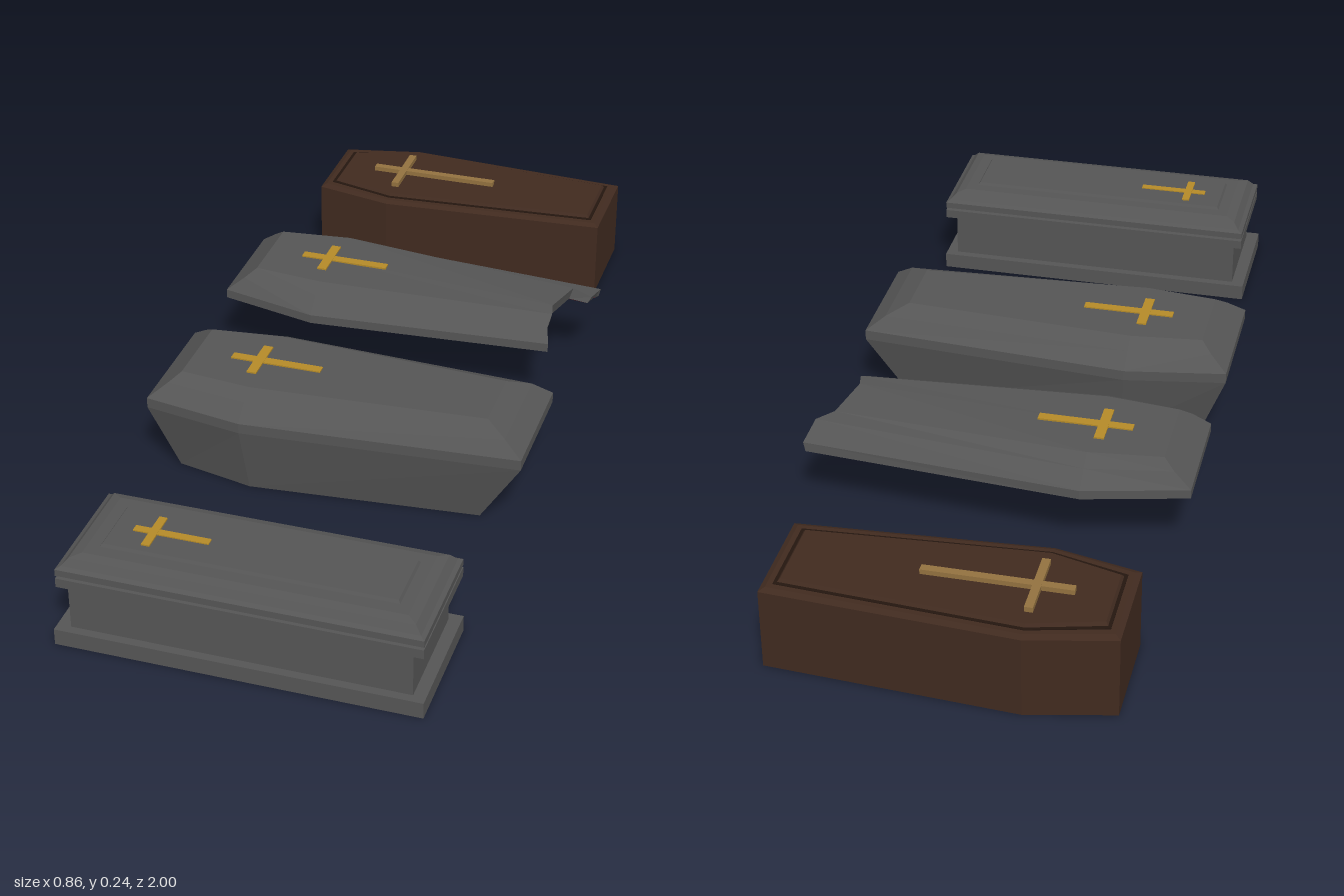
import * as THREE from 'three';

const mat = (color, side = THREE.FrontSide) =>
  new THREE.MeshStandardMaterial({ color, flatShading: true, side });
const stone = mat(0x555555);
const brokenStone = mat(0x555555, THREE.DoubleSide);
const gold = mat(0xb48a28);
const wood = mat(0x402a1f);
const darkWood = mat(0x24160f);
const brass = mat(0x92713f);
const cloth = mat(0x5a2430, THREE.DoubleSide);
const clothTrim = mat(0x9c4454, THREE.DoubleSide);

function meshFrom(tris, material, name) {
  const g = new THREE.BufferGeometry();
  g.setAttribute('position', new THREE.Float32BufferAttribute(tris.flat(), 3));
  g.computeVertexNormals();
  const m = new THREE.Mesh(g, material);
  m.name = name;
  return m;
}

// Solid from stacked outlines: levels are [y, [[x, z], ...]], counter-clockwise from above
function stack(levels, material, name) {
  const rings = levels.map(([y, pts]) => pts.map(([x, z]) => [x, y, z]));
  const n = rings[0].length, t = [];
  for (let k = 0; k + 1 < rings.length; k++)
    for (let i = 0; i < n; i++) {
      const j = (i + 1) % n, a = rings[k], b = rings[k + 1];
      t.push(a[i], a[j], b[j], a[i], b[j], b[i]);
    }
  const lo = rings[0], hi = rings[rings.length - 1];
  for (let i = 1; i + 1 < n; i++) t.push(hi[0], hi[i], hi[i + 1], lo[0], lo[i + 1], lo[i]);
  return meshFrom(t, material, name);
}

// Open surface between rows of points
function sheet(rows, material, name) {
  const t = [];
  for (let r = 0; r + 1 < rows.length; r++)
    for (let i = 0; i + 1 < rows[r].length; i++) {
      const a = rows[r], b = rows[r + 1];
      t.push(a[i], b[i], b[i + 1], a[i], b[i + 1], a[i + 1]);
    }
  return meshFrom(t, material, name);
}

// Six-sided coffin outline: head, shoulder and foot, each x and half width
const hex = (xh, wh, xs, ws, xf, wf, d = 0) => [
  [xf - d, wf - d], [xf - d, d - wf], [xs, d - ws],
  [xh + d, d - wh], [xh + d, wh - d], [xs, ws - d],
];
const rect = (x0, x1, w) => [[x1, w], [x1, -w], [x0, -w], [x0, w]];

// Flat cross lying on a lid
function cross(x0, x1, xArm, armHalf, width, y, top, material) {
  const g = new THREE.Group();
  g.name = 'cross';
  const bar = (name, cx, lx, lz, h) => {
    const m = new THREE.Mesh(new THREE.BoxGeometry(lx, h, lz), material);
    m.name = name;
    m.position.set(cx, y + h / 2, 0);
    g.add(m);
  };
  bar('crossLong', (x0 + x1) / 2, x1 - x0, width, top - y);
  bar('crossArm', xArm, width, armHalf * 2, top - y + 0.0006);
  return g;
}

function group(name, z, ...parts) {
  const g = new THREE.Group();
  g.name = name;
  g.position.z = z;
  g.add(...parts);
  return g;
}

// Rectangular stone tomb with stepped base and lid
function stoneTomb() {
  const base = stack([[0, rect(-0.375, 0.405, 0.145)], [0.037, rect(-0.375, 0.405, 0.145)]], stone, 'tombBase');
  const body = stack([[0.037, rect(-0.345, 0.378, 0.126)], [0.143, rect(-0.345, 0.378, 0.126)]], stone, 'tombBody');
  const rim = stack([[0.143, rect(-0.365, 0.403, 0.14)], [0.164, rect(-0.365, 0.403, 0.14)]], stone, 'tombRim');
  const lid = stack([
    [0.164, rect(-0.345, 0.382, 0.122)], [0.17, rect(-0.345, 0.382, 0.122)],
    [0.17, rect(-0.365, 0.403, 0.139)], [0.185, rect(-0.365, 0.403, 0.139)],
    [0.19, rect(-0.355, 0.394, 0.13)], [0.205, rect(-0.342, 0.38, 0.118)],
    [0.21, rect(-0.32, 0.36, 0.1)],
  ], stone, 'tombLid');
  const panel = stack([[0.209, rect(-0.295, 0.335, 0.072)], [0.216, rect(-0.29, 0.33, 0.067)]], stone, 'lidPanel');
  return group('stoneTomb', 0.855, base, body, rim, lid, panel,
    cross(-0.248, -0.085, -0.205, 0.05, 0.018, 0.214, 0.2185, gold));
}

// Tapered stone coffin with a bevelled lid
function stoneCoffin() {
  const wide = hex(-0.43, 0.148, -0.2, 0.187, 0.426, 0.143);
  const body = stack([[0, hex(-0.37, 0.115, -0.19, 0.155, 0.33, 0.11)], [0.16, wide]], stone, 'coffinBody');
  const lid = stack([
    [0.16, wide], [0.184, wide],
    [0.215, hex(-0.39, 0.12, -0.2, 0.147, 0.383, 0.118)],
    [0.235, hex(-0.365, 0.095, -0.2, 0.113, 0.335, 0.08)],
  ], stone, 'coffinLid');
  return group('stoneCoffin', 0.198, body, lid,
    cross(-0.28, -0.07, -0.215, 0.058, 0.022, 0.233, 0.238, gold));
}

// Hollow lid with its foot end broken off, lined underneath
function brokenLid() {
  const arch = (half, ridge) =>
    [...half, ridge, ...half.slice().reverse().map(([x, y, z]) => [x, y, -z])];
  const head = arch([[-0.43, 0.163, -0.132], [-0.43, 0.184, -0.132], [-0.39, 0.215, -0.115],
    [-0.365, 0.235, -0.095]], [-0.365, 0.235, 0]);
  const shoulder = arch([[-0.2, 0.163, -0.187], [-0.2, 0.184, -0.187], [-0.2, 0.215, -0.147],
    [-0.2, 0.235, -0.113]], [-0.2, 0.235, 0]);
  const foot = [
    [0.42, 0.163, -0.14], [0.425, 0.184, -0.138], [0.418, 0.2, -0.066], [0.375, 0.222, -0.058],
    [0.35, 0.23, 0.05], [0.358, 0.228, 0.085], [0.355, 0.21, 0.115], [0.365, 0.184, 0.148],
    [0.365, 0.163, 0.148],
  ];
  const headCentre = head.map(([x, y]) => [x, y, 0]);
  const outer = [headCentre, head, shoulder, foot];
  const innerY = [0.163, 0.172, 0.186, 0.195, 0.197, 0.195, 0.186, 0.172, 0.163];
  const inner = outer.map((row, r) => row.map(([x, y, z], i) =>
    [r < 2 ? x + 0.02 : r === 3 ? x - 0.008 : x, innerY[i], z * 0.9]));
  const lid = sheet(outer, brokenStone, 'lidShell');
  const breakFace = sheet([foot, inner[3]], brokenStone, 'brokenEdge');
  const lining = sheet(inner, cloth, 'lining');
  const rims = [0, 8].map((i) =>
    sheet([outer.map((r) => r[i]), inner.map((r) => r[i])], clothTrim, 'liningTrim'));
  return group('brokenLid', -0.293, lid, breakFace, lining, ...rims,
    cross(-0.28, -0.07, -0.215, 0.058, 0.022, 0.233, 0.238, gold));
}

// Straight-sided wooden coffin with a grooved lid
function woodenCoffin() {
  const outline = (d) => hex(-0.383, 0.113, -0.195, 0.154, 0.35, 0.12, d);
  const body = stack([[0, outline(0)], [0.16, outline(0)]], wood, 'woodBody');
  const lid = stack([[0.16, outline(0)], [0.186, outline(0)], [0.192, outline(0.012)]], wood, 'woodLid');
  const groove = stack([[0.19, outline(0.024)], [0.1935, outline(0.024)]], darkWood, 'lidGroove');
  const panel = stack([[0.192, outline(0.03)], [0.2, outline(0.036)]], wood, 'lidPanel');
  return group('woodenCoffin', -0.846, body, lid, groove, panel,
    cross(-0.27, 0.047, -0.193, 0.082, 0.018, 0.198, 0.211, brass));
}

export function createModel() {
  const model = new THREE.Group();
  model.name = 'coffinSet';
  model.add(stoneTomb(), stoneCoffin(), brokenLid(), woodenCoffin());
  return model;
}
